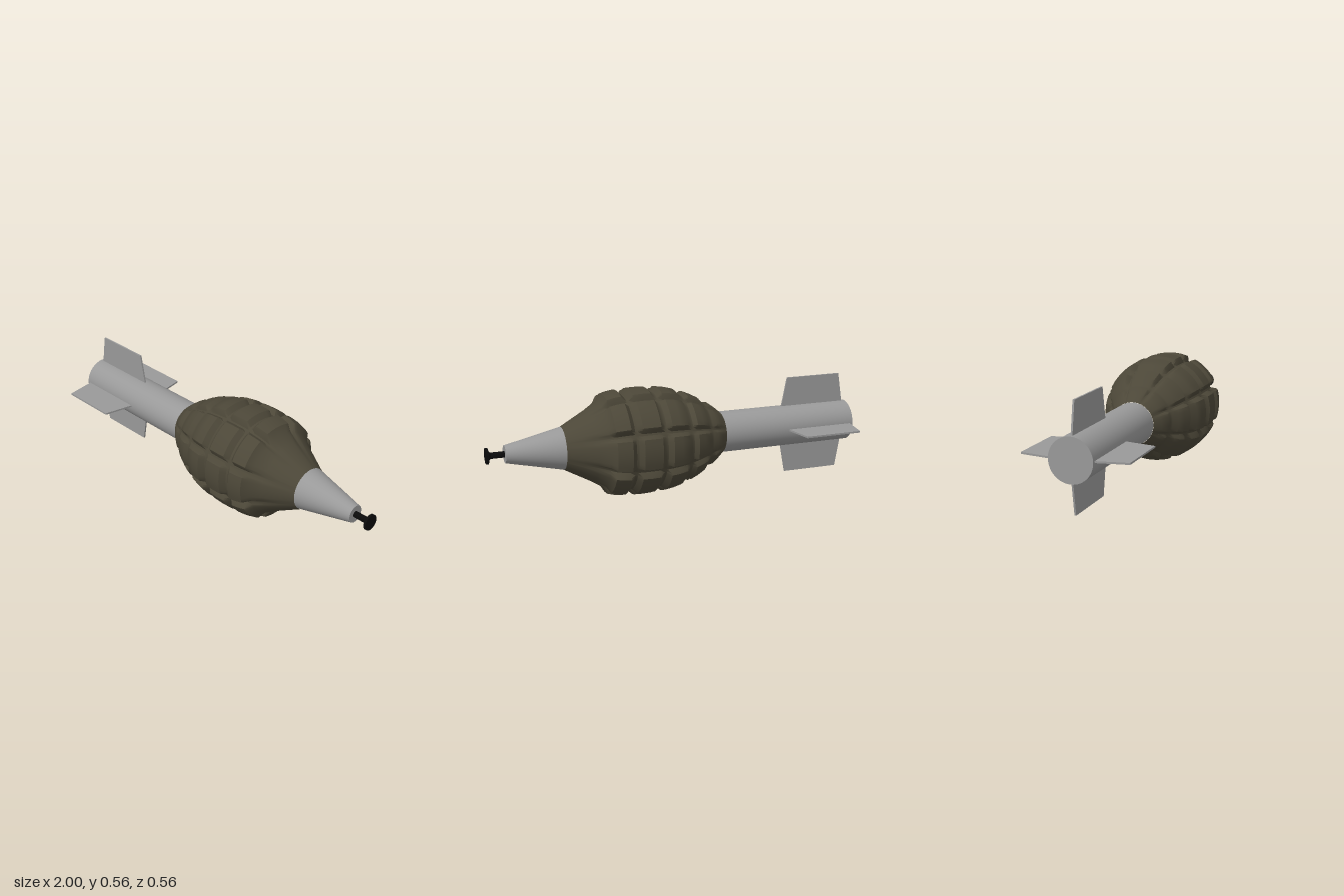
import * as THREE from 'three';
import { toCreasedNormals } from 'three/addons/utils/BufferGeometryUtils.js';

const AXIS_Y = 0.28;

export function createModel() {
  const model = new THREE.Group();
  model.name = 'finnedGrenade';

  const steel = new THREE.MeshStandardMaterial({ color: 0x999999 });
  steel.name = 'grey steel';
  const olive = new THREE.MeshStandardMaterial({ color: 0x4c4738 });
  olive.name = 'dark olive';
  const black = new THREE.MeshStandardMaterial({ color: 0x0b0b0b });
  black.name = 'black';

  const add = (name, geometry, material) => {
    const mesh = new THREE.Mesh(geometry, material);
    mesh.name = name;
    mesh.position.y = AXIS_Y;
    model.add(mesh);
    return mesh;
  };

  // Cylinder or cone lying along x, from x0 to x1
  const barrel = (x0, x1, r0, r1) =>
    new THREE.CylinderGeometry(r1, r0, x1 - x0, 64)
      .rotateZ(-Math.PI / 2)
      .translate((x0 + x1) / 2, 0, 0);

  add('tailTube', barrel(-1, -0.25, 0.109, 0.109), steel);
  add('noseCone', barrel(0.61, 0.905, 0.11, 0.045), steel);
  add('segmentedBody', bodyGeometry(), olive);

  // Firing pin: thin stem with a flared button
  const pin = [[0, 0.9], [0.016, 0.9], [0.016, 0.975], [0.024, 0.985],
    [0.041, 0.988], [0.041, 1], [0, 1]].map(([r, x]) => new THREE.Vector2(r, x));
  add('firingPin', toCreasedNormals(
    new THREE.LatheGeometry(pin, 32).rotateZ(-Math.PI / 2), 0.6), black);

  // Four tapered tail fins
  const outline = new THREE.Shape([[-0.99, 0.08], [-0.615, 0.08], [-0.615, 0.109],
    [-0.645, 0.265], [-0.957, 0.265], [-0.983, 0.109]].map(([x, y]) => new THREE.Vector2(x, y)));
  const fin = new THREE.ExtrudeGeometry(outline, { depth: 0.009, bevelEnabled: false })
    .translate(0, 0, -0.0045);
  for (let i = 0; i < 4; i++) {
    add('tailFin' + (i + 1), fin, steel).rotation.x = i * Math.PI / 2;
  }
  return model;
}

// Body skin: cross-sections along x, raised into eight lobes between grooves
function bodyGeometry() {
  // x, groove radius, lobe radius
  const stations = [
    [-0.25, 0.11, 0.11], [-0.215, 0.132, 0.14], [-0.178, 0.152, 0.167],
    [-0.155, 0.165, 0.168], [-0.142, 0.172, 0.174], [-0.12, 0.182, 0.201],
    [-0.085, 0.197, 0.22], [-0.047, 0.211, 0.236], [-0.024, 0.22, 0.224],
    [-0.01, 0.224, 0.228], [0.012, 0.23, 0.256], [0.055, 0.239, 0.267],
    [0.102, 0.245, 0.274], [0.126, 0.248, 0.25], [0.138, 0.249, 0.251],
    [0.162, 0.249, 0.277], [0.21, 0.25, 0.279], [0.258, 0.249, 0.277],
    [0.281, 0.248, 0.251], [0.293, 0.247, 0.25], [0.318, 0.243, 0.274],
    [0.355, 0.235, 0.269], [0.393, 0.222, 0.259], [0.416, 0.207, 0.222],
    [0.47, 0.18, 0.187], [0.54, 0.147, 0.149], [0.612, 0.11, 0.11],
  ];
  // Angle in degrees within a lobe, and how far it rises above the groove
  const lobe = [[-22.5, 0], [-21.3, 0], [-18, 0.75], [-16.5, 1], [-11, 1], [-5.5, 1],
    [0, 1], [5.5, 1], [11, 1], [16.5, 1], [18, 0.75], [21.3, 0]];

  const ring = [];
  for (let k = 0; k < 8; k++) {
    for (const [deg, rise] of lobe) ring.push([THREE.MathUtils.degToRad(k * 45 + deg), rise]);
  }
  const n = ring.length;
  const positions = [];
  const index = [];
  stations.forEach(([x, low, high], i) => {
    ring.forEach(([angle, rise], j) => {
      const r = low + (high - low) * rise;
      positions.push(x, r * Math.cos(angle), r * Math.sin(angle));
      if (i + 1 < stations.length) {
        const a = i * n + j;
        const b = i * n + (j + 1) % n;
        index.push(a, b, b + n, a, b + n, a + n);
      }
    });
  });
  const geometry = new THREE.BufferGeometry();
  geometry.setAttribute('position', new THREE.Float32BufferAttribute(positions, 3));
  geometry.setIndex(index);
  return toCreasedNormals(geometry, 0.75);
}
